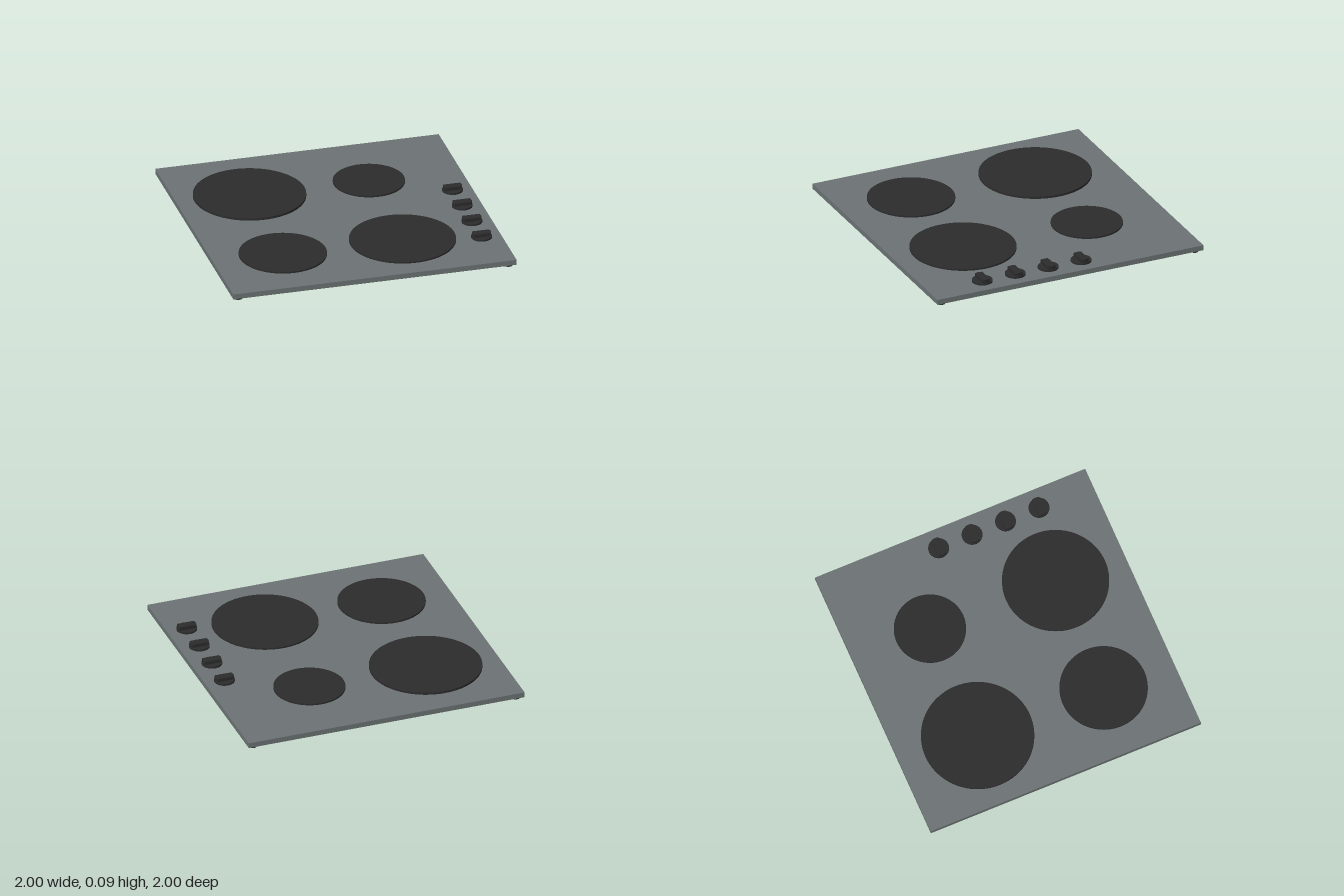
import * as THREE from 'three';

export function createModel() {
  const hob = new THREE.Group();
  hob.name = 'hob';

  const steel = new THREE.MeshStandardMaterial({ color: 0x6c7374 });
  steel.name = 'steel grey';
  const black = new THREE.MeshStandardMaterial({ color: 0x2c2c2c });
  black.name = 'matte black';

  const plateBottom = 0.018, plateTop = 0.055;

  function add(parent, name, geometry, material, x, y, z) {
    const mesh = new THREE.Mesh(geometry, material);
    mesh.name = name;
    mesh.position.set(x, y, z);
    parent.add(mesh);
    return mesh;
  }

  // Upright disc between two heights
  function disc(parent, name, radius, bottom, top, x, z, sides = 96) {
    const geometry = new THREE.CylinderGeometry(radius, radius, top - bottom, sides);
    return add(parent, name, geometry, black, x, (bottom + top) / 2, z);
  }

  // Top plate
  add(hob, 'plate', new THREE.BoxGeometry(2, plateTop - plateBottom, 2), steel,
    0, (plateBottom + plateTop) / 2, 0);

  // Hot plates: name, x, z, radius, top height
  const burners = [
    ['backRightBurner', -0.49, -0.435, 0.386, 0.071],
    ['backLeftBurner', 0.35, -0.428, 0.246, 0.067],
    ['frontRightBurner', -0.51, 0.489, 0.301, 0.067],
    ['frontLeftBurner', 0.333, 0.495, 0.365, 0.067],
  ];
  for (const [name, x, z, radius, top] of burners) {
    disc(hob, name, radius, plateTop, top, x, z);
  }

  // Grip outline: a bar with ends rounded to the knob's edge
  const gripRadius = 0.066, halfWidth = 0.028;
  const angle = Math.asin(halfWidth / gripRadius);
  const outline = new THREE.Shape();
  outline.absarc(0, 0, gripRadius, -angle, angle, false);
  outline.absarc(0, 0, gripRadius, Math.PI - angle, Math.PI + angle, false);
  outline.closePath();
  const gripGeometry = new THREE.ExtrudeGeometry(outline, {
    depth: 0.025, bevelEnabled: false, curveSegments: 12,
  }).rotateX(-Math.PI / 2);

  // Row of control knobs
  for (let i = 0; i < 4; i++) {
    const knob = new THREE.Group();
    knob.name = 'knob' + (i + 1);
    knob.position.set(0.862, 0, -0.144 + i * 0.2477);
    disc(knob, 'knobBase', 0.071, plateTop, 0.068, 0, 0, 48);
    add(knob, 'knobGrip', gripGeometry, black, 0, 0.068, 0);
    hob.add(knob);
  }

  // Corner feet
  for (const x of [-0.953, 0.953]) {
    for (const z of [-0.953, 0.953]) {
      disc(hob, 'foot', 0.028, 0, plateBottom, x, z, 32);
    }
  }

  return hob;
}
